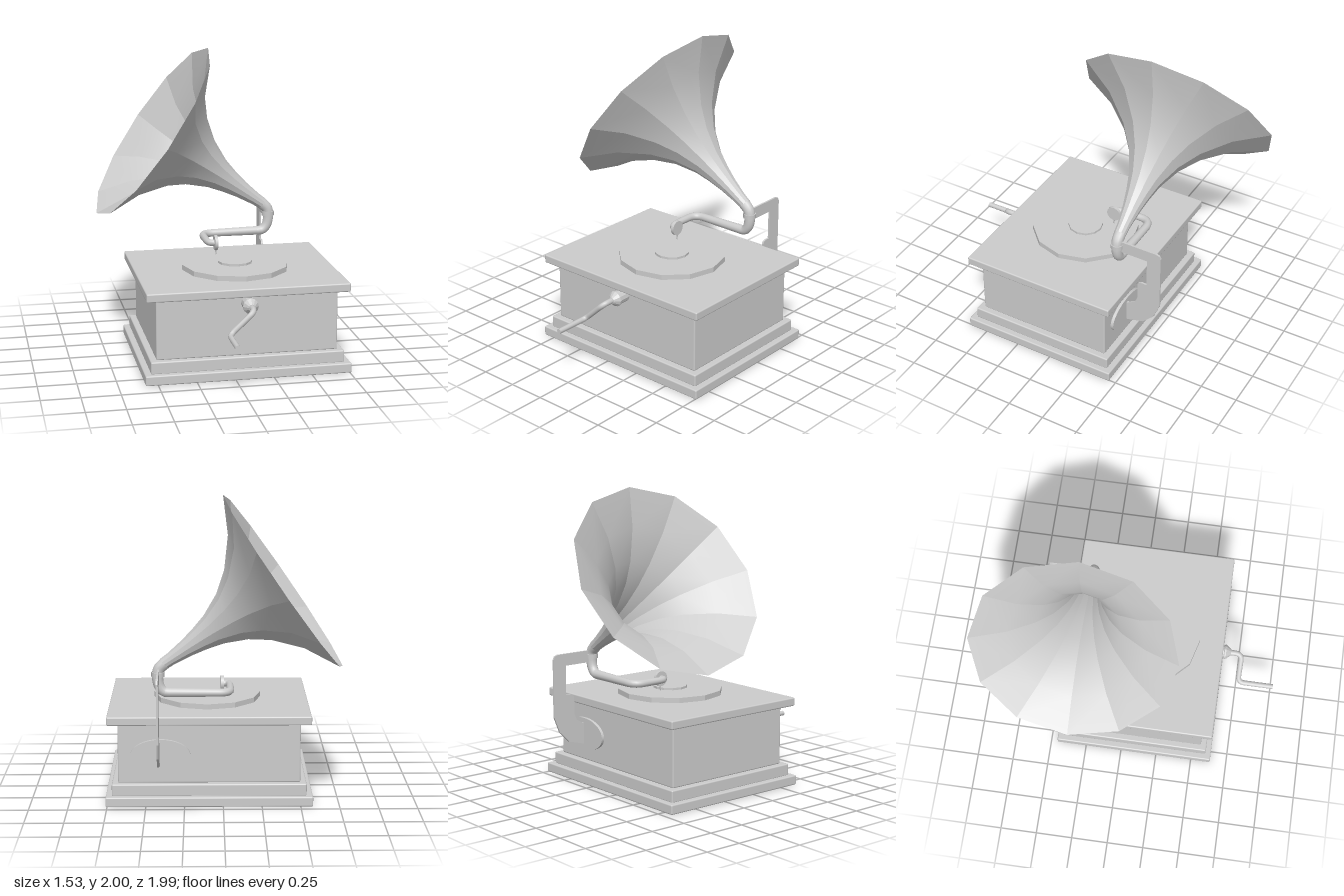
import * as THREE from 'three';
import { mergeGeometries } from 'three/addons/utils/BufferGeometryUtils.js';
import { RoundedBoxGeometry } from 'three/addons/geometries/RoundedBoxGeometry.js';

const V = (x, y, z) => new THREE.Vector3(x, y, z);

export function createModel() {
  const model = new THREE.Group();
  const smooth = new THREE.MeshStandardMaterial({ color: 0xcccccc });
  const flat = new THREE.MeshStandardMaterial({ color: 0xcccccc, flatShading: true });
  const thin = new THREE.MeshStandardMaterial({ color: 0xcccccc, side: THREE.DoubleSide });

  function add(name, geometry, material = smooth) {
    const mesh = new THREE.Mesh(geometry, material);
    mesh.name = name;
    model.add(mesh);
    return mesh;
  }

  // Polyline whose corners are rounded off by the given distance
  function roundedPath(points, bend) {
    const path = new THREE.CurvePath();
    let from = points[0];
    for (let i = 1; i < points.length - 1; i++) {
      const p = points[i];
      const toward = (q) => p.clone().add(q.clone().sub(p).setLength(Math.min(bend, p.distanceTo(q) * 0.48)));
      const a = toward(points[i - 1]), b = toward(points[i + 1]);
      path.add(new THREE.LineCurve3(from, a));
      path.add(new THREE.QuadraticBezierCurve3(a, p, b));
      from = b;
    }
    path.add(new THREE.LineCurve3(from, points[points.length - 1]));
    return path;
  }

  // Tube that tapers from r0 to r1
  function taperedTube(path, r0, r1, rings, sides) {
    const geometry = new THREE.TubeGeometry(path, rings, 1, sides);
    const pos = geometry.attributes.position;
    const v = V(0, 0, 0);
    for (let i = 0; i < pos.count; i++) {
      const u = Math.floor(i / (sides + 1)) / rings;
      const c = path.getPointAt(u);
      v.fromBufferAttribute(pos, i).sub(c).multiplyScalar(r0 + (r1 - r0) * u).add(c);
      pos.setXYZ(i, v.x, v.y, v.z);
    }
    return geometry;
  }

  // Cabinet: stacked tiers [name, width, depth, bottom, top]
  const tiers = [
    ['basePlinth', 1.34, 1.09, 0, 0.065],
    ['upperPlinth', 1.26, 1.015, 0.06, 0.142],
    ['cabinetBody', 1.18, 0.935, 0.14, 0.545],
    ['cabinetLid', 1.315, 1.065, 0.54, 0.597],
  ];
  for (const [name, w, d, y0, y1] of tiers) {
    add(name, new RoundedBoxGeometry(w, y1 - y0, d, 2, 0.009)).position.set(0.09, (y0 + y1) / 2, 0.09);
  }

  // Turntable and its centre label
  add('turntable', new THREE.CylinderGeometry(0.355, 0.355, 0.036, 12), flat).position.set(0.1, 0.613, 0.1);
  add('recordLabel', new THREE.CylinderGeometry(0.115, 0.115, 0.016, 12), flat).position.set(0.1, 0.638, 0.1);

  // Horn: twelve panels, smooth along their length and creased between
  const profile = [
    [0.93, 0.04], [0.87, 0.043], [0.75, 0.06], [0.65, 0.081], [0.54, 0.112],
    [0.395, 0.18], [0.265, 0.278], [0.12, 0.445], [0, 0.67],
  ].map(([t, r]) => new THREE.Vector2(r, -t));
  const panels = [];
  for (let i = 0; i < 12; i++) {
    const panel = new THREE.LatheGeometry(profile, 1, (i * Math.PI) / 6, Math.PI / 6);
    panel.computeVertexNormals();
    panels.push(panel);
  }
  const horn = add('horn', mergeGeometries(panels), thin);
  horn.position.set(-0.383, 1.452, -0.32);
  horn.rotation.z = 0.961;

  // Elbow under the horn, with a collar
  const elbow = new THREE.CatmullRomCurve3([
    V(0.37, 0.925, -0.32), V(0.41, 0.885, -0.32), V(0.42, 0.83, -0.32),
    V(0.408, 0.768, -0.32), V(0.38, 0.735, -0.32), V(0.34, 0.729, -0.32),
  ]);
  add('elbow', taperedTube(elbow, 0.04, 0.031, 16, 12));
  const collar = add('collar', new THREE.CylinderGeometry(0.043, 0.043, 0.03, 12));
  collar.position.set(0.418, 0.85, -0.32);

  // Tone arm running across, then forward to the sound box
  const arm = roundedPath([
    V(0.36, 0.73, -0.32), V(-0.048, 0.726, -0.32), V(-0.048, 0.726, -0.065), V(0, 0.726, -0.065),
  ], 0.08);
  add('toneArm', taperedTube(arm, 0.031, 0.022, 40, 12));
  const soundBox = add('soundBox', new THREE.CylinderGeometry(0.05, 0.05, 0.02, 20));
  soundBox.rotation.z = Math.PI / 2;
  soundBox.position.set(0.002, 0.726, -0.065);
  add('needle', new THREE.CylinderGeometry(0.008, 0.002, 0.045, 8)).position.set(0.004, 0.665, -0.065);

  // Flat bracket holding the horn, drawn as (distance to the back, height)
  const outline = [
    [0.33, 0.89], [0.605, 0.89], [0.627, 0.882], [0.637, 0.86], [0.637, 0.47], [0.595, 0.365],
    [0.52, 0.29], [0.41, 0.26], [0.37, 0.255], [0.37, 0.4], [0.41, 0.405], [0.455, 0.43],
    [0.475, 0.475], [0.475, 0.59], [0.483, 0.606], [0.5, 0.612], [0.54, 0.612], [0.54, 0.81], [0.33, 0.81],
  ].map(([a, y]) => new THREE.Vector2(a, y));
  const bracket = new THREE.ExtrudeGeometry(new THREE.Shape(outline), { depth: 0.013, bevelEnabled: false });
  bracket.rotateY(Math.PI / 2);
  add('bracket', bracket).position.x = 0.409;

  // Oval mounting plate on the back
  const plate = add('bracketPlate', new THREE.CylinderGeometry(1, 1, 0.022, 32));
  plate.rotation.x = Math.PI / 2;
  plate.scale.set(0.195, 1, 0.108);
  plate.position.set(0.405, 0.327, -0.386);

  // Winding crank with its hub
  const hub = [[0.045, 0], [0.045, 0.075], [0.051, 0.08], [0.051, 0.09], [0.022, 0.125], [0, 0.125]];
  const crankHub = add('crankHub', new THREE.LatheGeometry(hub.map(([r, y]) => new THREE.Vector2(r, y)), 12), flat);
  crankHub.rotation.x = Math.PI / 2;
  crankHub.position.set(0.09, 0.49, 0.555);
  const crankPath = roundedPath([
    V(0.09, 0.49, 0.66), V(0.09, 0.49, 0.755), V(-0.068, 0.343, 0.755), V(-0.068, 0.343, 1),
  ], 0.045);
  add('crank', taperedTube(crankPath, 0.019, 0.017, 40, 10));
  const cap = add('crankEnd', new THREE.CircleGeometry(0.017, 10));
  cap.position.set(-0.068, 0.343, 1);

  return model;
}
